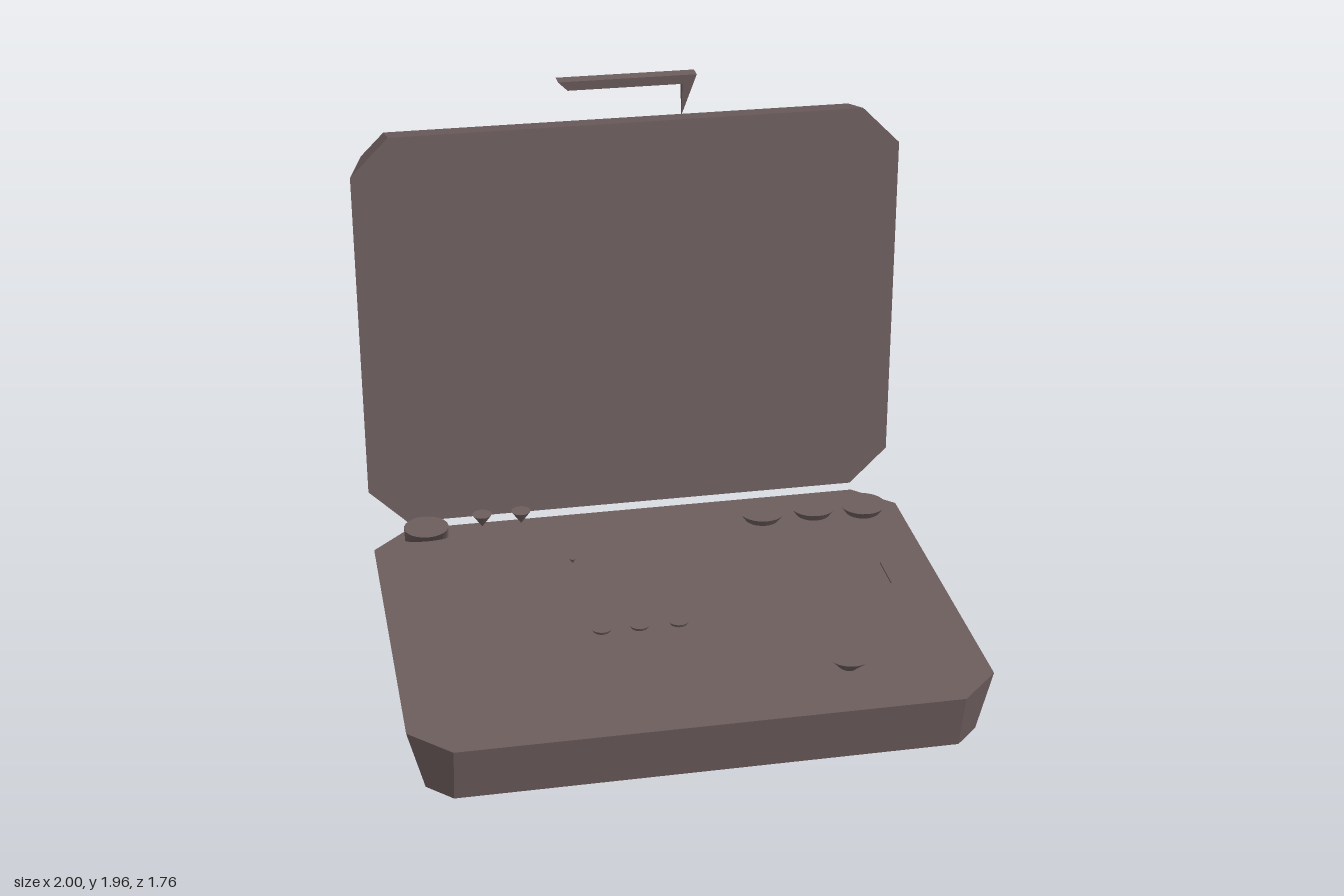
import * as THREE from 'three';

const brown = new THREE.MeshStandardMaterial({ color: 0x6e5e5e });
brown.name = 'dull brown';

// Solid through rings of [x, y, z] points, bottom to top, counterclockwise from above
function loft(rings) {
  const pos = [];
  const tri = (a, b, c) => pos.push(...a, ...b, ...c);
  const n = rings[0].length;
  for (let r = 0; r < rings.length - 1; r++) {
    const lo = rings[r], hi = rings[r + 1];
    for (let i = 0; i < n; i++) {
      const j = (i + 1) % n;
      tri(lo[i], lo[j], hi[j]);
      tri(lo[i], hi[j], hi[i]);
    }
  }
  const bottom = rings[0], top = rings[rings.length - 1];
  for (let i = 1; i < n - 1; i++) {
    tri(bottom[0], bottom[i + 1], bottom[i]);
    tri(top[0], top[i], top[i + 1]);
  }
  const g = new THREE.BufferGeometry();
  g.setAttribute('position', new THREE.Float32BufferAttribute(pos, 3));
  g.computeVertexNormals();
  return g;
}

// Rectangle with cut corners; the cuts start at inner half sizes ix, iz
function octagon(x, z, ix, iz, y) {
  return [[x, iz], [x, -iz], [ix, -z], [-ix, -z], [-x, -iz], [-x, iz], [-ix, z], [ix, z]]
    .map(([px, pz]) => [px, y, pz]);
}

function rectangle(x0, x1, z, y) {
  return [[x1, y, z], [x1, y, -z], [x0, y, -z], [x0, y, z]];
}

function ellipse(rx, rz, y, dx = 0, dz = 0, n = 24) {
  return Array.from({ length: n }, (_, i) => {
    const a = (i / n) * Math.PI * 2;
    return [dx + rx * Math.cos(a), y, dz - rz * Math.sin(a)];
  });
}

export function createModel() {
  const model = new THREE.Group();
  model.name = 'openCase';
  const add = (name, geometry, x = 0, y = 0, z = 0, parent = model) => {
    const mesh = new THREE.Mesh(geometry, brown);
    mesh.name = name;
    mesh.position.set(x, y, z);
    parent.add(mesh);
    return mesh;
  };
  // Round part tapering from y0 to y1
  const round = (name, x, z, y0, y1, r0, r1) =>
    add(name, new THREE.CylinderGeometry(r1, r0, y1 - y0, 24).toNonIndexed(), x, (y0 + y1) / 2, z);

  // Base and upright lid share one tapered tray
  const tray = loft([
    octagon(0.945, 0.71, 0.86, 0.625, 0),
    octagon(1, 0.765, 0.86, 0.625, 0.215),
  ]);
  add('base', tray, 0, 0.035, 0.115);
  add('lid', tray, 0, 1.035, -0.885).rotation.x = Math.PI / 2;

  // Handle: bar with one pointed leg
  const handle = new THREE.Group();
  handle.name = 'handle';
  handle.position.z = -0.7275;
  model.add(handle);
  add('handleBar', loft([
    rectangle(-0.215, 0.21, 0.021, 1.92),
    rectangle(-0.25, 0.25, 0.0275, 1.955),
  ]), 0, 0, 0, handle);
  add('handleLeg', loft([
    rectangle(0.199, 0.201, 0.001, 1.80),
    rectangle(0.2, 0.25, 0.0275, 1.955),
  ]), 0, 0, 0, handle);

  // Three large knobs at the back with their feet under the base
  for (const [x, z] of [[0.47, -0.49], [0.67, -0.495], [0.86, -0.475]]) {
    round('largeKnob', x, z, 0.25, 0.28, 0.066, 0.087);
    round('knobFoot', x, z, 0.022, 0.036, 0.088, 0.088);
  }

  // Three small buttons and the stubs below them
  for (const x of [-0.265, -0.13, 0.01]) {
    round('smallButton', x, 0.215, 0.249, 0.262, 0.03, 0.037);
    round('buttonStub', x, 0.215, 0, 0.036, 0.045, 0.038);
  }

  // Two raised cones
  for (const x of [-0.593, -0.447]) round('coneButton', x, -0.522, 0.305, 0.355, 0.001, 0.036);

  // Wedge-shaped dial, narrow underneath
  add('wedgeDial', loft([
    ellipse(0.08, 0.02, 0.305),
    ellipse(0.082, 0.082, 0.355),
  ]), -0.807, 0, -0.462);

  // Slanted dial near the front
  add('slantedDial', loft([
    ellipse(0.035, 0.05, 0.277, -0.005, -0.015),
    ellipse(0.077, 0.077, 0.32),
  ]), 0.517, 0, 0.645);

  // Small details on the top and bottom faces
  round('pin', -0.29, -0.287, 0.249, 0.265, 0.004, 0.012);
  add('thinSlider', new THREE.BoxGeometry(0.004, 0.008, 0.15), 0.82, 0.253, 0.01);
  round('bottomPlate', -0.135, -0.39, 0.022, 0.036, 0.19, 0.19);

  return model;
}
